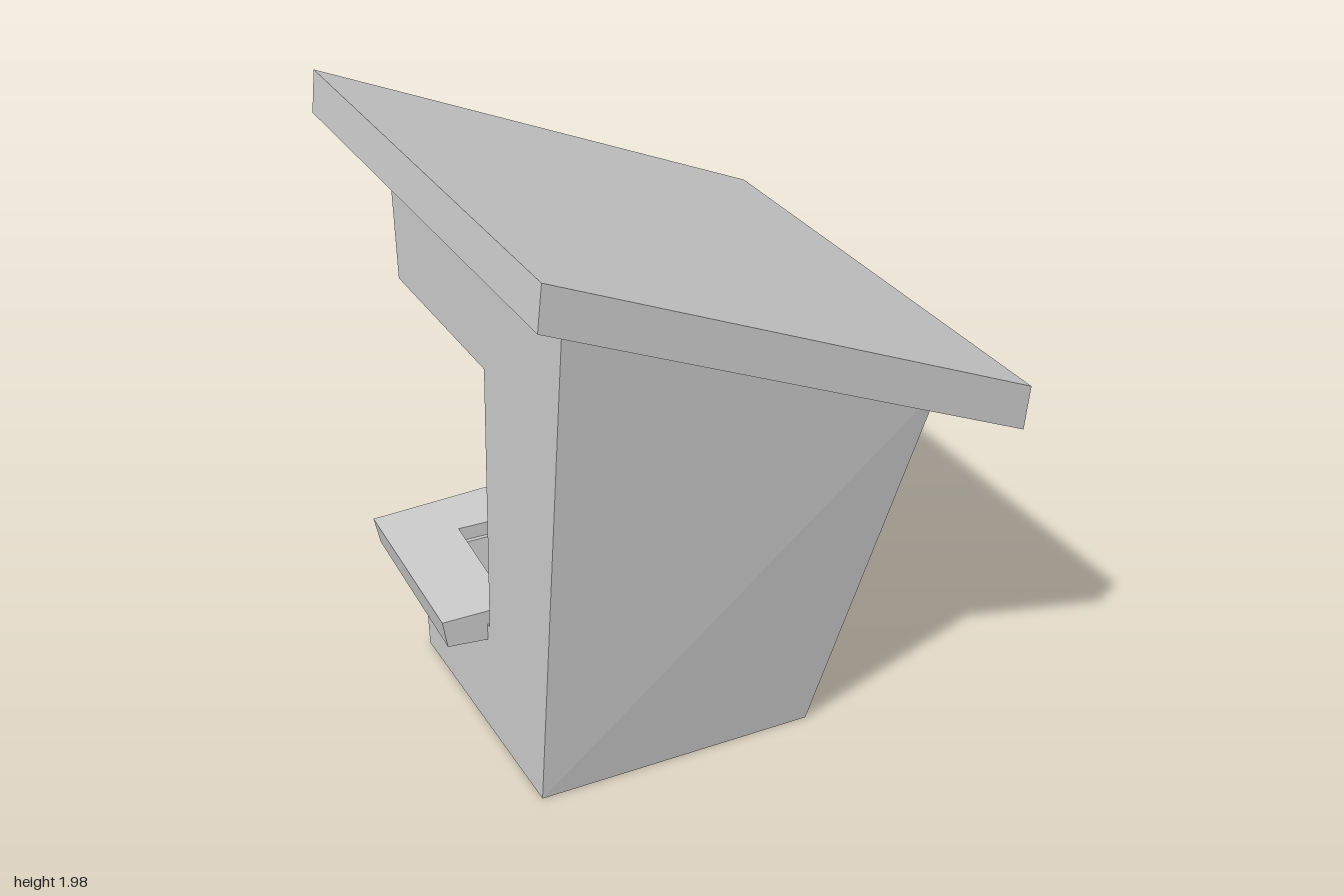
import * as THREE from 'three';

const lerp = THREE.MathUtils.lerp;
const material = new THREE.MeshStandardMaterial({ color: 0xcccccc, flatShading: true });

// Box whose eight corners are placed by corner(i, j, k), each index 0 or 1 along x, y, z
function warpedBox(name, corner) {
  const geometry = new THREE.BoxGeometry(1, 1, 1);
  const pos = geometry.attributes.position;
  for (let n = 0; n < pos.count; n++) {
    const [i, j, k] = [pos.getX(n), pos.getY(n), pos.getZ(n)].map((c) => (c > 0 ? 1 : 0));
    pos.setXYZ(n, ...corner(i, j, k));
  }
  geometry.computeVertexNormals();
  const mesh = new THREE.Mesh(geometry, material);
  mesh.name = name;
  return mesh;
}

// Point in the flaring body: a and b are fractions across x and z, y is a height
const eaves = (a) => lerp(1.764, 1.244, a);
function bodyPoint(a, b, y) {
  const h = y / eaves(a);
  const x = lerp(lerp(-0.643, -0.62, h), lerp(0.304, 0.615, h), a);
  return [x, y, (2 * b - 1) * lerp(0.479, 0.667, h)];
}

// Wall piece; ranges are [low, high], heights are given at both ends of a
function wall(name, a, b, bottom = [0, 0], top = null, aTop = a) {
  return warpedBox(name, (i, j, k) => {
    const f = j ? aTop[i] : a[i];
    const y = j ? (top ? top[i] : eaves(f)) : bottom[i];
    return bodyPoint(f, b[k], y);
  });
}

export function createModel() {
  const model = new THREE.Group();
  model.name = 'booth';
  const T = 0.09; // wall thickness as a fraction

  // Closed walls
  const walls = new THREE.Group();
  walls.name = 'walls';
  walls.add(
    wall('frontWall', [0, 1], [1 - T, 1]),
    wall('lowSideWall', [1 - T, 1], [T, 1 - T]),
    // Back wall around the corner window
    wall('backPier', [0.57, 1], [0, T], [0, 0], null, [0.49, 1]),
    wall('backParapet', [0, 0.58], [0, T], [0, 0], [0.4, 0.4]),
    wall('backLintel', [0, 0.52], [0, T], [1.33, 1.1]),
    // Tall side wall around the corner window
    wall('tallSidePier', [0, T], [0.575, 1 - T]),
    wall('tallSideParapet', [0, T], [T, 0.58], [0, 0], [0.4, 0.4]),
    wall('tallSideLintel', [0, T], [T, 0.575], [1.33, 1.3]),
  );
  model.add(walls);

  // Thin floor, facing down only
  const floorGeometry = new THREE.BufferGeometry();
  const floorPoints = [[0, 0], [1, 0], [1, 1], [0, 1]].flatMap(([a, b]) => bodyPoint(a, b, 0));
  floorGeometry.setAttribute('position', new THREE.Float32BufferAttribute(floorPoints, 3));
  floorGeometry.setIndex([0, 1, 2, 0, 2, 3]);
  floorGeometry.computeVertexNormals();
  const floor = new THREE.Mesh(floorGeometry, material);
  floor.name = 'floor';
  model.add(floor);

  // Corner sill: two mitred arms, [x, z, underside height]
  const outer = { back: [-0.05, -0.68, 0.29], corner: [-0.765, -0.635, 0.362], side: [-0.79, 0.06, 0.355] };
  const inner = { back: [-0.045, -0.44, 0.25], corner: [-0.53, -0.445, 0.345], side: [-0.56, 0.06, 0.335] };
  const sillPoint = (isOuter, key, j) => {
    const [x, z, under] = (isOuter ? outer : inner)[key];
    if (j) return [x, 0.45, z];
    return [x + (isOuter && key !== 'back' ? 0.015 : 0), under, z + (isOuter && key !== 'side' ? 0.015 : 0)];
  };
  const sill = new THREE.Group();
  sill.name = 'windowSill';
  sill.add(
    warpedBox('backSill', (i, j, k) => sillPoint(k === 0, i ? 'back' : 'corner', j)),
    warpedBox('sideSill', (i, j, k) => sillPoint(i === 0, k ? 'side' : 'corner', j)),
  );
  model.add(sill);

  // Sloping roof slab
  model.add(warpedBox('roof', (i, j, k) => [
    (i ? 0.775 : -0.788) + 0.015 * j,
    (i ? 1.17 : 1.835) + 0.142 * j,
    k ? 0.887 : -0.887,
  ]));

  // Whole booth stands slightly turned
  model.rotation.y = -0.157;
  const root = new THREE.Group();
  root.name = 'turnedBooth';
  root.add(model);
  return root;
}
